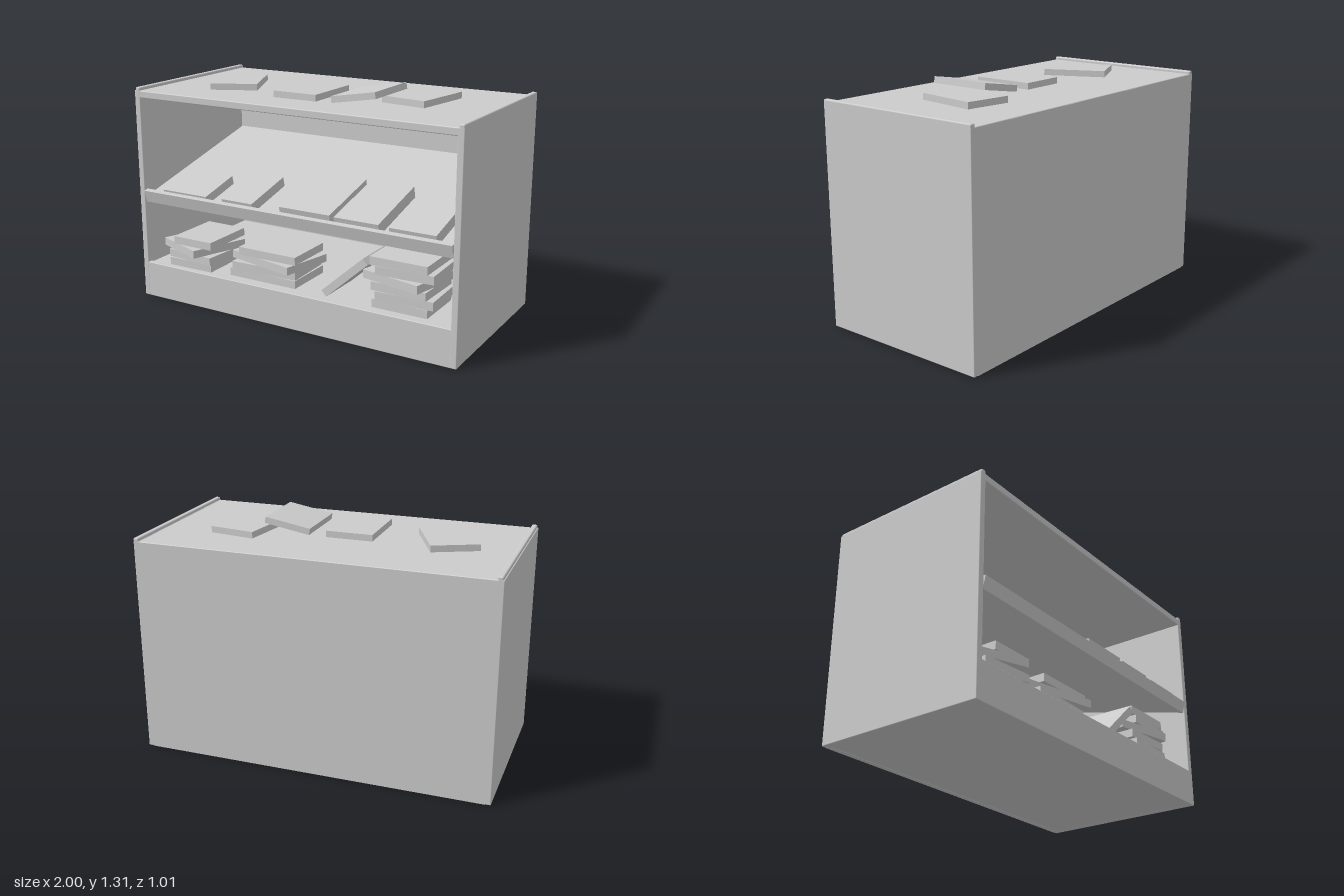
import * as THREE from 'three';
import { RoundedBoxGeometry } from 'three/addons/geometries/RoundedBoxGeometry.js';

const material = new THREE.MeshStandardMaterial({ color: 0xcccccc });

// Box given by its minimum and maximum corners, with an optional small bevel
function box(parent, name, min, max, bevel = 0) {
  const s = max.map((v, i) => v - min[i]);
  const geometry = bevel ? new RoundedBoxGeometry(...s, 2, bevel) : new THREE.BoxGeometry(...s);
  const mesh = new THREE.Mesh(geometry, material);
  mesh.name = name;
  mesh.position.set(...max.map((v, i) => (v + min[i]) / 2));
  parent.add(mesh);
  return mesh;
}

// Book given by its size, centre and rotation
function book(parent, name, size, position, rotation = [0, 0, 0]) {
  const mesh = new THREE.Mesh(new THREE.BoxGeometry(...size), material);
  mesh.name = name;
  mesh.position.set(...position);
  mesh.rotation.set(...rotation);
  parent.add(mesh);
}

function createCabinet() {
  const g = new THREE.Group();
  g.name = 'cabinet';
  for (const s of [-1, 1]) {
    const x = s * 0.982;
    box(g, s > 0 ? 'leftSide' : 'rightSide', [x - 0.018, 0, -0.5], [x + 0.018, 1.225, 0.497], 0.005);
    // Slim rounded rail along the top of each side
    box(g, 'sideRail', [x - 0.012, 1.2, -0.5], [x + 0.018, 1.242, 0.497], 0.008);
  }
  box(g, 'base', [-0.97, 0.002, -0.495], [0.97, 0.2, 0.485]);
  box(g, 'frontPanel', [-0.97, 0, 0.465], [0.97, 0.208, 0.496], 0.004);
  box(g, 'backPanel', [-0.97, 0, -0.5], [0.97, 1.22, -0.47]);
  box(g, 'top', [-0.97, 1.182, -0.5], [0.97, 1.224, 0.496], 0.006);
  return g;
}

// Tilted display shelf; its local top surface is y = 0 and its lip is at z = 0
function createShelf() {
  const g = new THREE.Group();
  g.name = 'displayShelf';
  g.position.set(0, 0.611, 0.475);
  g.rotation.x = Math.atan(0.25);
  box(g, 'shelfBoard', [-0.96, -0.025, -0.98], [0.96, 0, 0]);
  box(g, 'shelfLip', [-0.96, -0.03, -0.008], [0.96, 0.04, 0.021]);
  // Left x, right x, length, thickness
  const books = [
    [-0.84, -0.54, 0.27, 0.05], [-0.43, -0.23, 0.335, 0.055], [-0.05, 0.26, 0.42, 0.07],
    [0.285, 0.545, 0.43, 0.065], [0.605, 0.865, 0.37, 0.06],
  ];
  for (const [a, b, length, t] of books) box(g, 'displayedBook', [a, 0, -length], [b, t, -0.01]);
  return g;
}

// Pile of books; each layer is [centre x, width, depth, turn]
function createStack(name, z, layers, t) {
  const g = new THREE.Group();
  g.name = name;
  layers.forEach(([x, w, d, turn], i) =>
    book(g, 'stackedBook', [w, t, d], [x, 0.2 + t * (i + 0.5), z], [0, turn, 0]));
  return g;
}

export function createModel() {
  const model = new THREE.Group();
  model.name = 'bookDisplayCabinet';
  model.add(createCabinet(), createShelf());

  // Piles on the cabinet floor
  model.add(createStack('rightStack', 0.28, [
    [-0.7, 0.29, 0.32, 0.02], [-0.69, 0.31, 0.32, -0.08], [-0.712, 0.32, 0.35, -0.36], [-0.675, 0.26, 0.33, 0],
  ], 0.045));
  model.add(createStack('middleStack', 0.26, [
    [-0.218, 0.435, 0.3, 0], [-0.215, 0.41, 0.3, 0.04], [-0.2, 0.44, 0.31, -0.22], [-0.185, 0.37, 0.3, 0],
  ], 0.045));
  model.add(createStack('leftStack', 0.27, [
    [0.64, 0.32, 0.3, 0], [0.66, 0.33, 0.3, 0.03], [0.635, 0.32, 0.3, -0.03],
    [0.62, 0.36, 0.32, -0.22], [0.66, 0.33, 0.3, 0.03], [0.63, 0.33, 0.3, 0],
  ], 0.0465));
  book(model, 'leaningBook', [0.335, 0.042, 0.28], [0.32, 0.333, 0.29], [0, 0, 0.73]);

  // Loose books on top
  const y = 1.242, size = [0.265, 0.036, 0.36];
  book(model, 'topBook', size, [-0.595, y, 0.05], [0, 0.43, 0]);
  book(model, 'topBook', size, [-0.075, y, 0.1]);
  book(model, 'topBook', size, [0.525, y, -0.042], [0, -0.15, 0]);
  book(model, 'tiltedTopBook', size, [0.283, 1.266, 0.1], [0, 0, 0.17]);
  return model;
}
